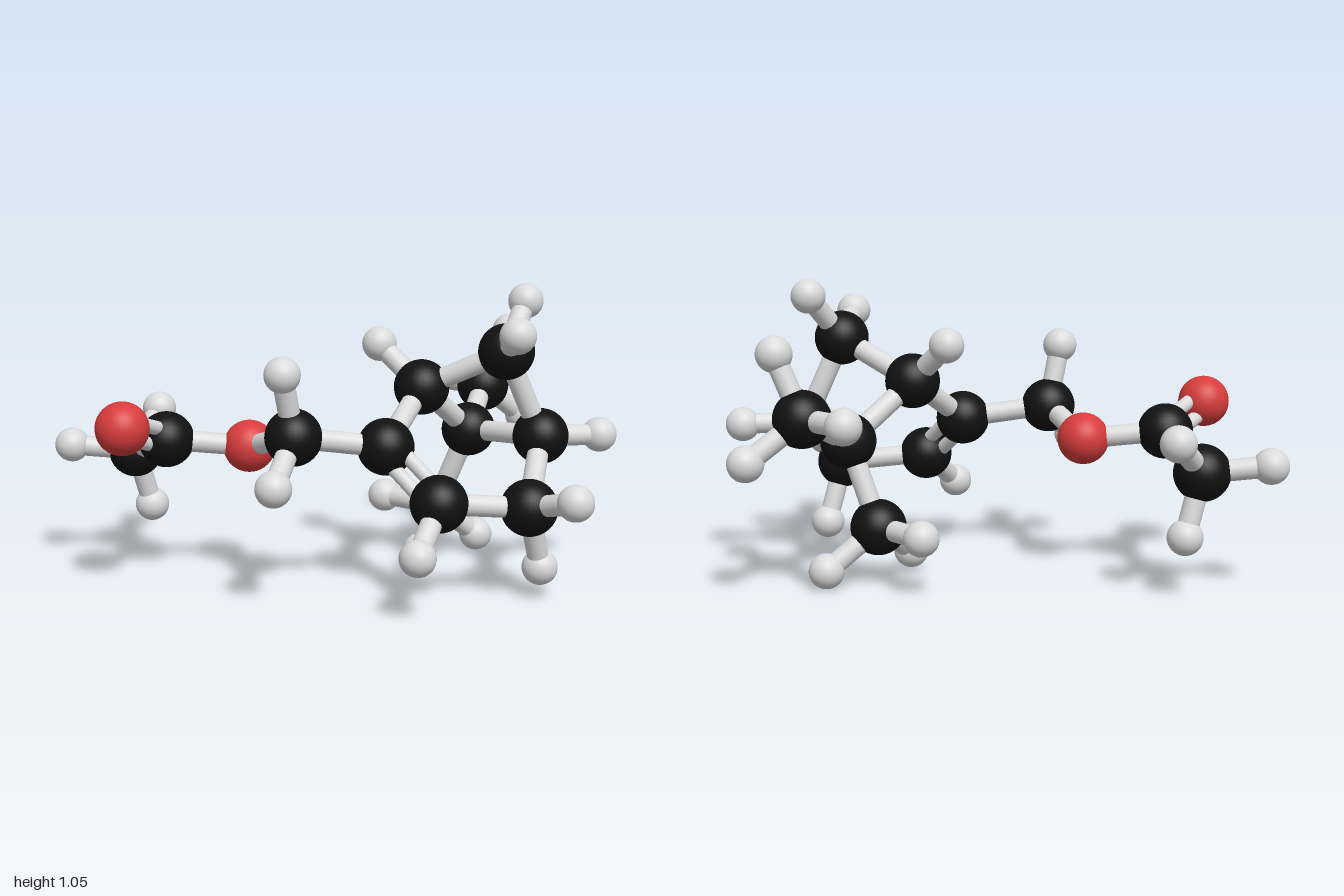
import * as THREE from 'three';

const material = (name, color) => {
  const m = new THREE.MeshStandardMaterial({ color });
  m.name = name;
  return m;
};

// Atom centres: carbons and oxygens, keyed by place in the molecule
const HEAVY = {
  carbonylOxygen: [-0.74, 0.60, 0.22],
  acylCarbon: [-0.595, 0.52, 0.02],
  acetylMethyl: [-0.71, 0.425, -0.26],
  esterOxygen: [-0.305, 0.49, 0.02],
  linkCarbon: [-0.17, 0.57, 0.28],
  alkeneCarbonA: [0.147, 0.525, 0.25],
  alkeneCarbonB: [0.305, 0.36, 0.41],
  ringCarbon: [0.62, 0.33, 0.375],
  bridgeheadA: [0.305, 0.69, 0.025],
  bridgeheadB: [0.714, 0.525, 0.125],
  bridgeCarbon: [0.58, 0.83, 0.15],
  quaternaryCarbon: [0.51, 0.5, -0.15],
  lowerMethyl: [0.40, 0.205, -0.197],
  rearMethyl: [0.617, 0.617, -0.42],
};

// Hydrogens listed under the carbon that carries them
const HYDROGENS = {
  acetylMethyl: [[-0.94, 0.45, -0.26], [-0.655, 0.21, -0.3], [-0.622, 0.55, -0.425]],
  linkCarbon: [[-0.21, 0.79, 0.33], [-0.25, 0.435, 0.455]],
  alkeneCarbonB: [[0.208, 0.222, 0.575]],
  ringCarbon: [[0.73, 0.388, 0.56], [0.675, 0.105, 0.32]],
  bridgeheadA: [[0.17, 0.83, -0.093]],
  bridgeheadB: [[0.938, 0.517, 0.08]],
  bridgeCarbon: [[0.675, 0.99, 0.017], [0.57, 0.913, 0.365]],
  lowerMethyl: [[0.31, 0.08, -0.015], [0.57, 0.065, -0.28], [0.23, 0.205, -0.365]],
  rearMethyl: [[0.71, 0.83, -0.402], [0.45, 0.62, -0.585], [0.79, 0.48, -0.505]],
};

const SINGLE = [
  ['acylCarbon', 'acetylMethyl'], ['acylCarbon', 'esterOxygen'],
  ['esterOxygen', 'linkCarbon'], ['linkCarbon', 'alkeneCarbonA'],
  ['alkeneCarbonA', 'bridgeheadA'], ['alkeneCarbonB', 'ringCarbon'],
  ['ringCarbon', 'bridgeheadB'], ['bridgeheadB', 'bridgeCarbon'],
  ['bridgeCarbon', 'bridgeheadA'], ['bridgeheadA', 'quaternaryCarbon'],
  ['bridgeheadB', 'quaternaryCarbon'], ['quaternaryCarbon', 'lowerMethyl'],
  ['quaternaryCarbon', 'rearMethyl'],
];
const DOUBLE = [['acylCarbon', 'carbonylOxygen'], ['alkeneCarbonA', 'alkeneCarbonB']];

export function createModel() {
  const model = new THREE.Group();
  model.name = 'molecule';
  const black = material('carbonBlack', 0x111111);
  const red = material('oxygenRed', 0xd83c3c);
  const grey = material('lightGrey', 0xdadada);

  const sphere = (r) => new THREE.SphereGeometry(r, 32, 20);
  const carbon = sphere(0.098), oxygen = sphere(0.092), hydrogen = sphere(0.062);
  const UP = new THREE.Vector3(0, 1, 0);

  const addAtom = (name, geometry, mat, position) => {
    const mesh = new THREE.Mesh(geometry, mat);
    mesh.name = name;
    mesh.position.set(...position);
    model.add(mesh);
  };

  // Cylinder between two atom centres, shifted sideways for double bonds
  const addBond = (name, from, to, radius = 0.037, shift = 0) => {
    const a = new THREE.Vector3(...from), b = new THREE.Vector3(...to);
    const dir = b.clone().sub(a);
    const length = dir.length();
    dir.normalize();
    const side = new THREE.Vector3(dir.y, -dir.x, 0).normalize();
    const mesh = new THREE.Mesh(new THREE.CylinderGeometry(radius, radius, length, 24, 1, true), grey);
    mesh.name = name;
    mesh.position.copy(a).add(b).multiplyScalar(0.5).addScaledVector(side, shift);
    mesh.quaternion.setFromUnitVectors(UP, dir);
    model.add(mesh);
  };

  // Carbon and oxygen atoms
  for (const [name, p] of Object.entries(HEAVY)) {
    const isOxygen = name.endsWith('Oxygen');
    addAtom(name, isOxygen ? oxygen : carbon, isOxygen ? red : black, p);
  }

  // Hydrogen atoms with their bonds
  for (const [parent, list] of Object.entries(HYDROGENS)) {
    for (const p of list) {
      addAtom('hydrogen', hydrogen, grey, p);
      addBond('hydrogenBond', HEAVY[parent], p);
    }
  }

  // Skeleton bonds
  for (const [a, b] of SINGLE) addBond('singleBond', HEAVY[a], HEAVY[b]);
  for (const [a, b] of DOUBLE) {
    for (const s of [-1, 1]) addBond('doubleBond', HEAVY[a], HEAVY[b], 0.025, s * 0.031);
  }
  return model;
}
